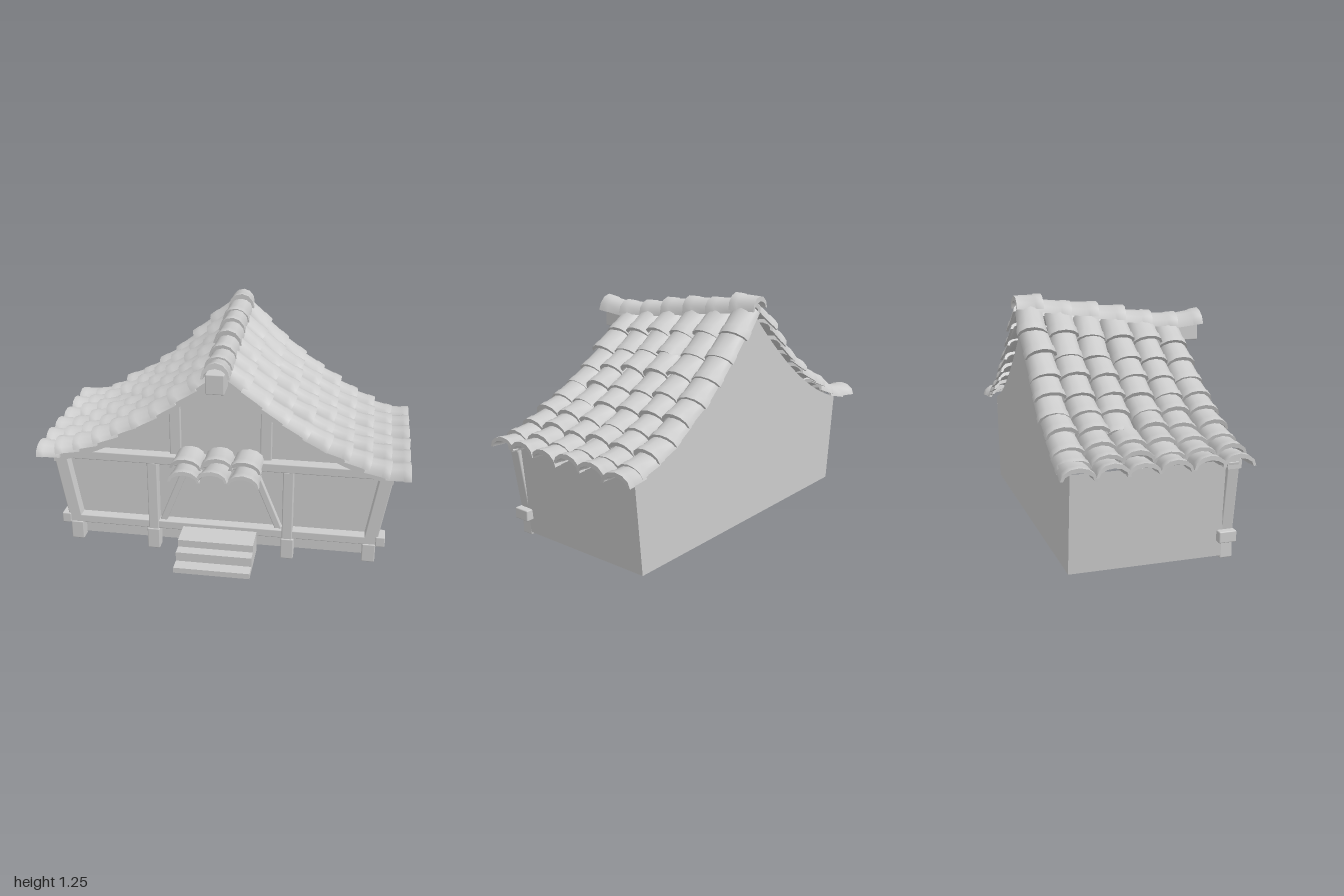
import * as THREE from 'three';
import { toCreasedNormals } from 'three/addons/utils/BufferGeometryUtils.js';
import { RoundedBoxGeometry } from 'three/addons/geometries/RoundedBoxGeometry.js';

const grey = new THREE.MeshStandardMaterial({ color: 0xcccccc });
const greyThin = new THREE.MeshStandardMaterial({ color: 0xcccccc, side: THREE.DoubleSide });

let seed = 7;
const jitter = (a) => {
  seed = (seed * 16807) % 2147483647;
  return (seed / 2147483647 - 0.5) * 2 * a;
};

// Roof surface: concave slope whose apex climbs towards the back
const apexRise = (z) => 0.54 + 0.155 * Math.max(0, 0.27 - z);
const roofY = (x, z) => 0.52 + apexRise(z) * Math.pow(Math.max(0, 1 - Math.abs(x)), 1.65);

function add(parent, name, geometry, material = grey) {
  const mesh = new THREE.Mesh(geometry, material);
  mesh.name = name;
  parent.add(mesh);
  return mesh;
}

// Chamfered box given by its limits
function block(parent, name, x0, x1, y0, y1, z0, z1) {
  const mesh = add(parent, name, new RoundedBoxGeometry(x1 - x0, y1 - y0, z1 - z0, 1, 0.006));
  mesh.position.set((x0 + x1) / 2, (y0 + y1) / 2, (z0 + z1) / 2);
}

// Timber running between two points of the front plane
function timber(parent, name, x0, y0, x1, y1, width, z0, z1) {
  const length = Math.hypot(x1 - x0, y1 - y0);
  const mesh = add(parent, name, new RoundedBoxGeometry(width, length, z1 - z0, 1, 0.006));
  mesh.position.set((x0 + x1) / 2, (y0 + y1) / 2, (z0 + z1) / 2);
  mesh.rotation.z = -Math.atan2(x1 - x0, y1 - y0);
}

// Barrel tile: arched shell along +x, one unit long, with a raised lip at its low end
function tileGeometry() {
  const N = 6, M = 2 * (N + 1), thick = 0.022;
  const sections = [[0, 0.95], [0.68, 1], [0.73, 1.06], [1, 1.08]];
  const pos = [], index = [];
  for (const [x, s] of sections) {
    for (let k = 0; k < M; k++) {
      const inner = k > N;
      const a = (Math.PI * (inner ? M - 1 - k : k)) / N;
      const w = 0.077 * s - (inner ? thick * 0.6 : 0);
      const h = 0.057 * s - (inner ? thick : 0);
      pos.push(x, h * Math.sin(a), w * Math.cos(a));
    }
  }
  for (let s = 0; s < sections.length - 1; s++) {
    for (let k = 0; k < M; k++) {
      const a = s * M + k, b = s * M + ((k + 1) % M);
      index.push(a, a + M, b, b, a + M, b + M);
    }
  }
  const last = (sections.length - 1) * M;
  for (let k = 0; k < N; k++) {
    const o = k, p = k + 1, i = M - 1 - k, j = M - 2 - k;
    index.push(last + o, last + i, last + p, last + p, last + i, last + j);
    index.push(o, p, i, p, j, i);
  }
  const g = new THREE.BufferGeometry();
  g.setAttribute('position', new THREE.Float32BufferAttribute(pos, 3));
  g.setIndex(index);
  return toCreasedNormals(g, 0.7);
}

// Tile of a given length, turned to a heading and pitched downhill
function placeTile(parent, geo, name, x, y, z, length, heading, pitch, sy = 1, sz = 1) {
  const mesh = add(parent, name, geo);
  mesh.position.set(x, y, z);
  mesh.rotation.set(jitter(0.08), heading + jitter(0.05), pitch + jitter(0.05), 'YXZ');
  mesh.scale.set(length, sy * (1 + jitter(0.1)), sz * (1 + jitter(0.03)));
}

// End wall outline following the roof curve
function wallShape(z) {
  const s = new THREE.Shape();
  s.moveTo(-0.83, 0.04);
  s.lineTo(0.83, 0.04);
  for (let i = 0; i <= 32; i++) {
    const x = 0.88 - (1.76 * i) / 32;
    s.lineTo(x, roofY(x, z) - 0.005);
  }
  s.closePath();
  return new THREE.ShapeGeometry(s);
}

export function createModel() {
  const house = new THREE.Group();
  house.name = 'house';
  const walls = new THREE.Group(), frame = new THREE.Group(), roof = new THREE.Group();
  walls.name = 'walls';
  frame.name = 'timberFrame';
  roof.name = 'roof';
  house.add(walls, frame, roof);

  // Thin walls, open underneath
  const zf = 0.25, zb = -0.515;
  add(walls, 'frontWall', wallShape(zf), greyThin).position.z = zf;
  const back = add(walls, 'backWall', wallShape(zb), greyThin);
  back.rotation.y = Math.PI;
  back.position.z = zb;
  for (const s of [-1, 1]) {
    const g = new THREE.PlaneGeometry(1, 1);
    const top = roofY(0.88, 0) - 0.005;
    const p = g.attributes.position;
    [[0.88, top, zf], [0.88, top, zb], [0.83, 0.04, zf], [0.83, 0.04, zb]].forEach(([x, y, z], i) =>
      p.setXYZ(i, s * x, y, z));
    if (s < 0) g.setIndex([0, 1, 2, 2, 1, 3]);
    g.computeVertexNormals();
    add(walls, 'sideWall', g, greyThin);
  }

  // Front framing
  block(frame, 'sillBeam', -0.84, 0.84, 0.125, 0.172, 0.225, 0.305);
  block(frame, 'tieBeam', -0.9, 0.9, 0.515, 0.565, 0.22, 0.31);
  for (const s of [-1, 1]) {
    block(frame, 'sillBeamEnd', s * 0.855 - 0.025, s * 0.855 + 0.025, 0.12, 0.178, 0.22, 0.31);
    block(frame, 'cornerFoot', s * 0.797 - 0.035, s * 0.797 + 0.035, 0.025, 0.13, 0.245, 0.31);
    timber(frame, 'cornerPost', s * 0.8, 0.13, s * 0.868, 0.535, 0.07, 0.245, 0.305);
    block(frame, 'innerPost', s * 0.363 - 0.028, s * 0.363 + 0.028, 0.03, 0.52, 0.25, 0.31);
    block(frame, 'innerFoot', s * 0.365 - 0.034, s * 0.365 + 0.034, 0.005, 0.125, 0.245, 0.315);
    timber(frame, 'brace', s * 0.315, 0.165, s * 0.17, 0.525, 0.036, 0.25, 0.285);
    block(frame, 'gablePost', s * 0.24 - 0.03, s * 0.24 + 0.03, 0.56, 0.85, 0.25, 0.275);
  }

  // Curved bargeboard under the front edge of the tiles
  const barge = new THREE.Shape();
  const edge = (i, drop) => {
    const x = -0.9 + (1.8 * i) / 36;
    return [x, roofY(x, 0.27) - drop];
  };
  barge.moveTo(...edge(0, 0.038));
  for (let i = 1; i <= 36; i++) barge.lineTo(...edge(i, 0.038));
  for (let i = 36; i >= 0; i--) barge.lineTo(...edge(i, -0.004));
  barge.closePath();
  const bargeGeo = new THREE.ExtrudeGeometry(barge, { depth: 0.07, bevelEnabled: false });
  add(frame, 'bargeboard', toCreasedNormals(bargeGeo, 0.5)).position.z = 0.245;
  block(frame, 'ridgeBeam', -0.048, 0.048, 0.98, 1.085, 0.22, 0.44);

  // Roof tiles: six rows on each slope
  const tile = tileGeometry();
  for (const s of [-1, 1]) {
    for (let r = 0; r < 6; r++) {
      const z = 0.265 - r * 0.152;
      for (let i = 0; i < 9; i++) {
        const low = 0.985 - i * 0.106;
        const high = Math.max(0.01, low - 0.13);
        const y0 = roofY(high, z) - 0.006;
        const y1 = roofY(low, z) + 0.012;
        const length = Math.hypot(low - high, y1 - y0);
        placeTile(roof, tile, 'roofTile', s * high, y0 + jitter(0.005), z + jitter(0.004),
          length, s < 0 ? Math.PI : 0, Math.atan2(y1 - y0, low - high));
      }
    }
  }

  // Ridge tiles, lips towards the front
  for (let i = 0; i < 7; i++) {
    const front = 0.465 - i * 0.149;
    const rear = Math.max(-0.57, front - 0.18);
    const y0 = 0.508 + apexRise(rear), y1 = 0.522 + apexRise(front);
    placeTile(roof, tile, 'ridgeTile', 0, y0, rear, front - rear, -Math.PI / 2,
      Math.atan2(y1 - y0, front - rear), 1.25, 0.9);
  }

  // Small tiled awning over the entrance, its front tiles kicking up
  const awning = new THREE.Group();
  awning.name = 'awning';
  house.add(awning);
  for (let c = -1; c <= 1; c++) {
    placeTile(awning, tile, 'awningTile', c * 0.155, 0.515, 0.345, 0.168, -Math.PI / 2, 0.08);
    placeTile(awning, tile, 'awningTile', c * 0.155, 0.57, 0.27, 0.15, -Math.PI / 2, -0.06);
  }

  // Entrance steps: open stepped shell with side cheeks
  const profile = [[0.58, 0.03], [0.58, 0.06], [0.51, 0.06], [0.51, 0.11], [0.45, 0.11], [0.45, 0.15], [0.3, 0.15]];
  const steps = new THREE.Group();
  steps.name = 'steps';
  house.add(steps);
  for (let i = 1; i < profile.length; i++) {
    const [z0, y0] = profile[i - 1], [z1, y1] = profile[i];
    const riser = i % 2 === 1;
    const face = add(steps, riser ? 'riser' : 'tread', new THREE.PlaneGeometry(0.4, riser ? y1 - y0 : z0 - z1), greyThin);
    face.position.set(0, (y0 + y1) / 2, (z0 + z1) / 2);
    if (!riser) face.rotation.x = -Math.PI / 2;
  }
  const cheek = new THREE.ShapeGeometry(
    new THREE.Shape([[0.3, 0.03], ...profile].map(([z, y]) => new THREE.Vector2(z, y))));
  for (const s of [-1, 1]) {
    const side = add(steps, 'stepSide', cheek, greyThin);
    side.rotation.y = -Math.PI / 2;
    side.position.x = s * 0.2;
  }

  return house;
}
